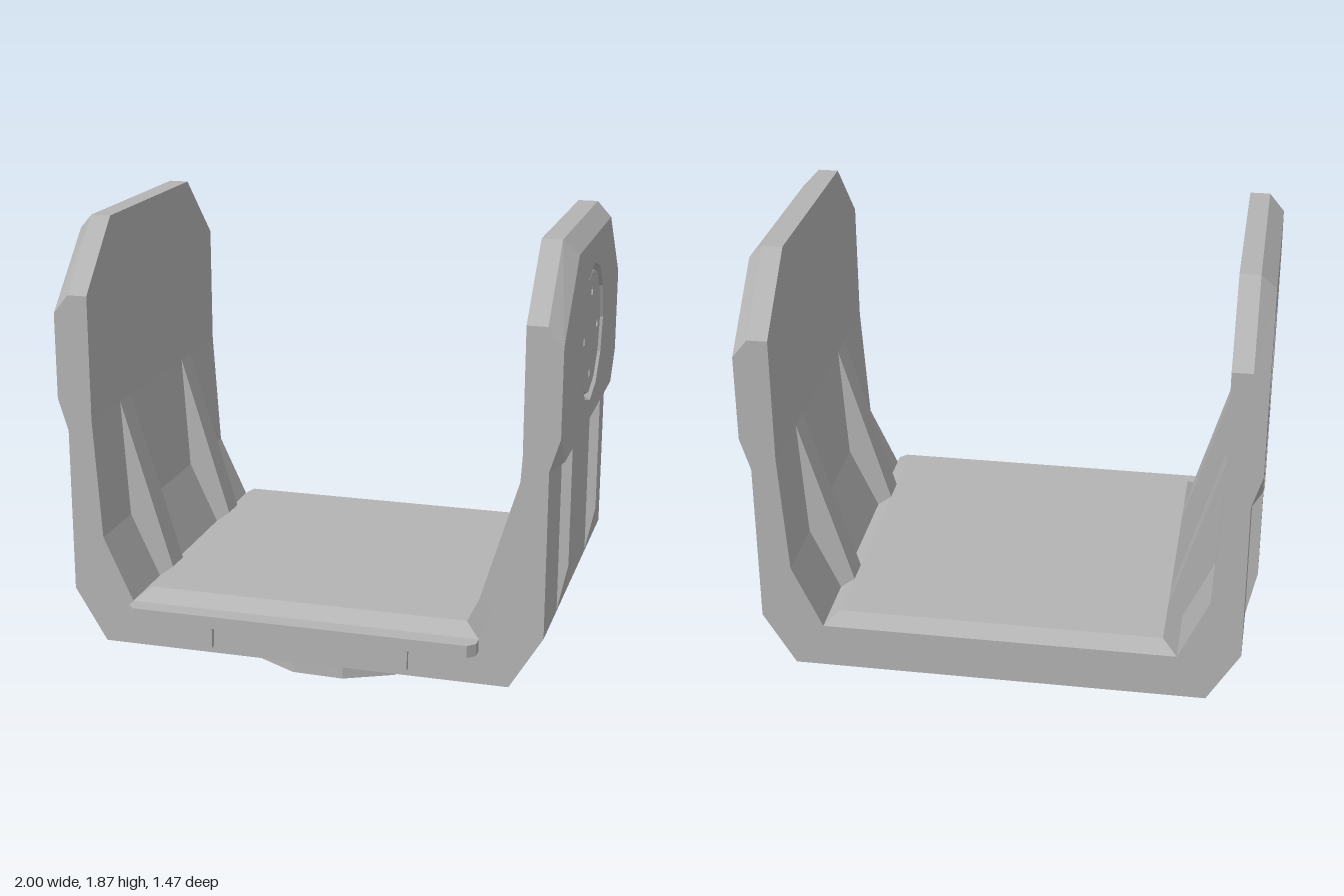
import * as THREE from 'three';

const FRONT = 0.66, BACK = -0.735, MID = (FRONT + BACK) / 2;

const shapeOf = pts => new THREE.Shape(pts.map(p => new THREE.Vector2(...p)));

// Regular polygon outline, used for discs and holes
function ngon(cx, cy, r, n) {
  return Array.from({ length: n }, (_, i) => {
    const a = (i / n) * Math.PI * 2;
    return [cx + r * Math.cos(a), cy + r * Math.sin(a)];
  });
}

// Facet every face so that all edges stay crisp
function faceted(geo) {
  const g = geo.index ? geo.toNonIndexed() : geo;
  g.computeVertexNormals();
  return g;
}

// Mirror across x = 0 and turn the triangles back outward
function mirrored(geo) {
  const g = geo.clone().scale(-1, 1, 1), p = g.attributes.position;
  const a = new THREE.Vector3(), b = new THREE.Vector3();
  for (let i = 0; i < p.count; i += 3) {
    a.fromBufferAttribute(p, i + 1);
    b.fromBufferAttribute(p, i + 2);
    p.setXYZ(i + 1, b.x, b.y, b.z);
    p.setXYZ(i + 2, a.x, a.y, a.z);
  }
  g.computeVertexNormals();
  return g;
}

// Extrude an x-y profile between two z positions
function slab(pts, z0, z1) {
  return faceted(new THREE.ExtrudeGeometry(shapeOf(pts), { depth: z1 - z0, bevelEnabled: false }).translate(0, 0, z0));
}

// Join equal-length loops of [x, y, z]; optional caps at both ends
function loft(loops, capStart, capEnd) {
  const n = loops[0].length, idx = [];
  for (let r = 0; r < loops.length - 1; r++) {
    for (let i = 0; i < n; i++) {
      const a = r * n + i, b = r * n + (i + 1) % n;
      idx.push(a, a + n, b, b, a + n, b + n);
    }
  }
  const last = (loops.length - 1) * n;
  for (let i = 1; i < n - 1; i++) {
    if (capStart) idx.push(0, i, i + 1);
    if (capEnd) idx.push(last, last + i + 1, last + i);
  }
  const g = new THREE.BufferGeometry();
  g.setAttribute('position', new THREE.Float32BufferAttribute(loops.flat(2), 3));
  g.setIndex(idx);
  return faceted(g);
}

// Flat face looking toward +x, outline given as [-z, y]
function sideFace(pts, holes, x) {
  const s = shapeOf(pts);
  holes.forEach(h => s.holes.push(new THREE.Path(h.map(p => new THREE.Vector2(...p)))));
  return faceted(new THREE.ShapeGeometry(s).rotateY(Math.PI / 2).translate(x, 0, 0));
}

// Turned piece about the x axis, profile given as [radius, x]
function sideLathe(profile, n, y, z) {
  const g = new THREE.LatheGeometry(profile.map(p => new THREE.Vector2(...p)), n);
  return faceted(g.rotateZ(-Math.PI / 2).translate(0, y, z));
}

export function createModel() {
  const model = new THREE.Group();
  model.name = 'cradleBracket';
  const grey = new THREE.MeshStandardMaterial({ color: 0xb4b4b4 });
  grey.name = 'grey metal';

  const add = (name, geo) => {
    const m = new THREE.Mesh(geo, grey);
    m.name = name;
    model.add(m);
  };
  const addPair = (name, geo) => {
    add('left' + name, geo);
    add('right' + name, mirrored(geo));
  };

  // U-shaped body: floor and lower arms
  const half = [[0.83, 0.17], [0.96, 0.385], [0.96, 1.05], [0.86, 1.1], [0.83, 0.615], [0.71, 0.355]];
  add('body', slab([...half, ...half.map(([x, y]) => [-x, y]).reverse()], BACK, FRONT));

  // Floor plate with bevelled rim
  const rect = (x, y, z0, z1) => [[-x, y, z0], [-x, y, z1], [x, y, z1], [x, y, z0]].reverse();
  add('floorPlate', loft([rect(0.71, 0.355, BACK, FRONT), rect(0.65, 0.4, -0.68, 0.6)], false, true));

  // Upper arms: inner, widest and outer outlines, with chamfered edges
  const inner = [[0.86, 1.1, FRONT], [0.86, 1.1, FRONT], [0.86, 1.6, FRONT], [0.86, 1.87, 0.4],
    [0.86, 1.87, -0.46], [0.86, 1.6, BACK], [0.86, 1.1, BACK], [0.86, 1.1, BACK]];
  const rim = inner.map(([, y, z]) => (y === 1.1 ? [0.96, 1.05, z] : [0.94, y, z]));
  const outer = [[1, 1.06, 0.55], [1, 1.18, FRONT], [1, 1.525, FRONT], [1, 1.81, 0.37],
    [1, 1.81, -0.44], [1, 1.525, BACK], [1, 1.18, BACK], [1, 1.06, -0.63]];
  addPair('UpperArm', loft([inner, rim, outer], true, false));

  // Outer arm face, open where the round pivot plate sits
  const py = 1.42;
  addPair('ArmFace', sideFace(outer.map(([, y, z]) => [-z, y]), [ngon(-MID, py, 0.28, 12)], 1));

  // Pivot plate: groove, disc and four bolt holes
  addPair('PivotGroove', sideLathe([[0.28, 1], [0.265, 0.975], [0.26, 0.975], [0.248, 0.992]], 12, py, MID));
  const bolts = ngon(-MID, py, 0.167, 4);
  addPair('PivotDisc', sideFace(ngon(-MID, py, 0.248, 12), bolts.map(([u, y]) => ngon(u, y, 0.02, 8)), 0.992));
  bolts.forEach(([u, y], i) =>
    addPair('BoltHole' + (i + 1), sideLathe([[0.02, 0.992], [0.02, 0.975], [0, 0.975]], 8, y, -u)));

  // Inner gussets and outer ribs
  [[0.255, 0.37], [-0.44, -0.33]].forEach(([z0, z1], i) => {
    const end = i ? 'Back' : 'Front';
    addPair(end + 'Gusset', slab([[0.86, 1.1], [0.65, 0.4], [0.71, 0.355], [0.83, 0.615]], z0, z1));
    addPair(end + 'Rib', slab([[0.955, 0.39], [0.96, 0.39], [1, 0.58], [1, 1.065], [0.955, 1.065]], z0, z1));
  });

  // Front lip with clipped corners, carried on two tabs
  const lip = new THREE.ExtrudeGeometry(
    shapeOf([[-0.71, -0.705], [-0.68, -0.735], [0.68, -0.735], [0.71, -0.705], [0.71, -0.65], [-0.71, -0.65]]),
    { depth: 0.05, bevelEnabled: false });
  add('frontLip', faceted(lip.rotateX(-Math.PI / 2).translate(0, 0.305, 0)));
  const tab = new THREE.ExtrudeGeometry(
    shapeOf([[-0.65, 0.2], [-0.65, 0.31], [-0.705, 0.31], [-0.705, 0.285], [-0.683, 0.285], [-0.683, 0.2]]),
    { depth: 0.065, bevelEnabled: false });
  addPair('LipTab', faceted(tab.rotateY(Math.PI / 2).translate(0.368, 0, 0)));

  // Round swivel base below the body
  const ring = (rTop, rBottom, y0, y1) => faceted(
    new THREE.CylinderGeometry(rTop, rBottom, y1 - y0, 13, 1, false, 0.206).translate(0, (y0 + y1) / 2, MID));
  add('baseCollar', ring(0.55, 0.535, 0.105, 0.17));
  add('baseFoot', ring(0.45, 0.45, 0, 0.105));

  return model;
}
